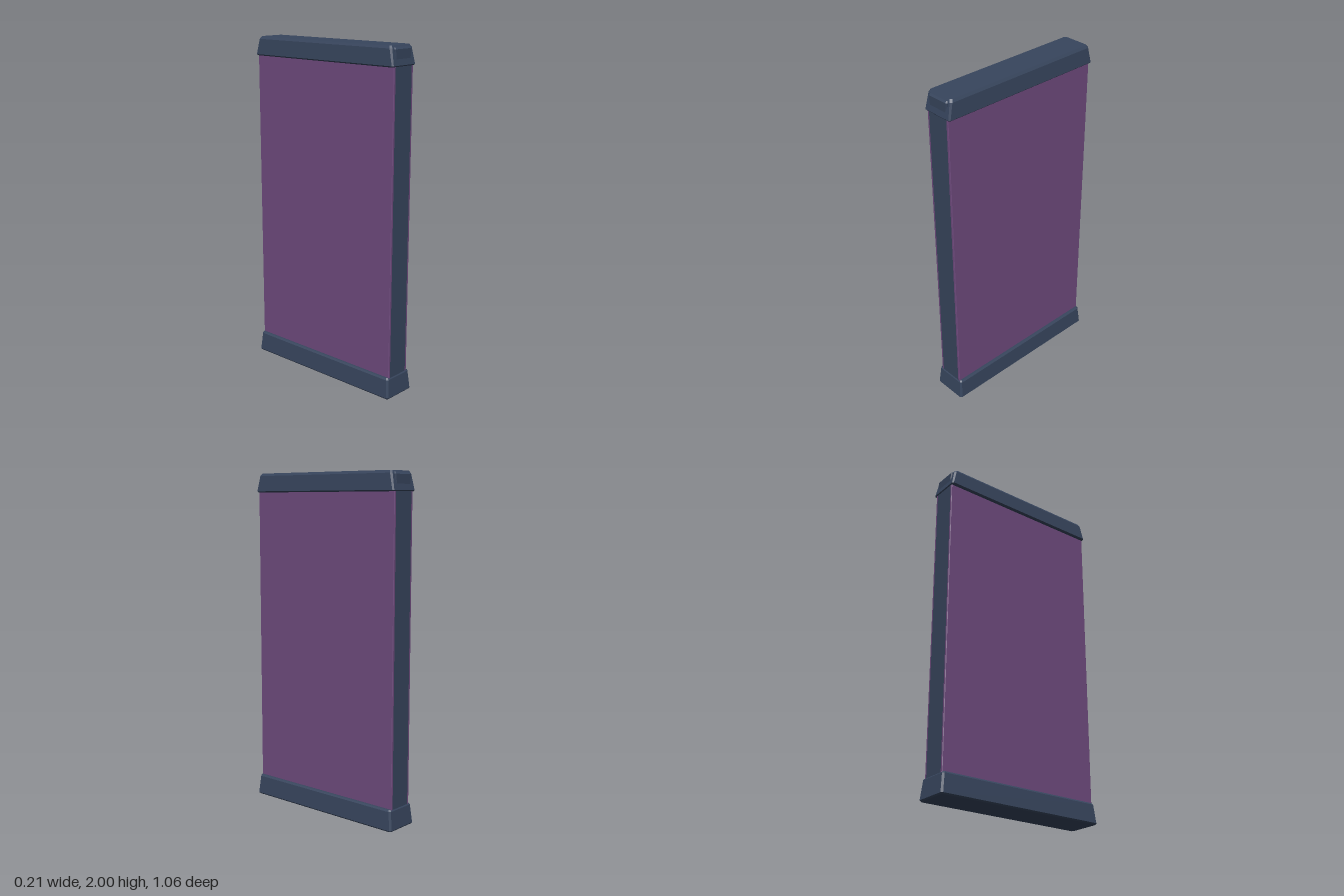
import * as THREE from 'three';

// Stacked rectangular rings with cut corners; each level is [y, halfX, halfZ, corner]
function taperedBlock(levels) {
  const pos = [], idx = [];
  for (const [y, a, b, c] of levels) {
    const ring = [[a, b - c], [a, c - b], [a - c, -b], [c - a, -b],
      [-a, c - b], [-a, b - c], [c - a, b], [a - c, b]];
    for (const [x, z] of ring) pos.push(x, y, z);
  }
  const n = 8, top = (levels.length - 1) * n;
  for (let l = 0; l < levels.length - 1; l++) {
    for (let i = 0; i < n; i++) {
      const p = l * n + i, q = l * n + (i + 1) % n;
      idx.push(p, q, q + n, p, q + n, p + n);
    }
  }
  for (let i = 1; i < n - 1; i++) {
    idx.push(top, top + i, top + i + 1);
    idx.push(0, i + 1, i);
  }
  const g = new THREE.BufferGeometry();
  g.setAttribute('position', new THREE.Float32BufferAttribute(pos, 3));
  g.setIndex(idx);
  const flat = g.toNonIndexed();
  flat.computeVertexNormals();
  return flat;
}

export function createModel() {
  const group = new THREE.Group();
  const slate = new THREE.MeshStandardMaterial({ color: 0x37455d });
  slate.name = 'slate blue';
  const purple = new THREE.MeshStandardMaterial({ color: 0x6f4b7e });
  purple.name = 'muted purple';

  const add = (name, geometry, material, x = 0, y = 0, z = 0) => {
    const mesh = new THREE.Mesh(geometry, material);
    mesh.name = name;
    mesh.position.set(x, y, z);
    group.add(mesh);
    return mesh;
  };

  // Flared foot with softened edges
  add('base', taperedBlock([
    [0, 0.1, 0.525, 0.008], [0.008, 0.107, 0.532, 0.01],
    [0.115, 0.098, 0.521, 0.01], [0.125, 0.09, 0.513, 0.008],
  ]), slate);

  // Upright core, its narrow ends showing at front and back
  add('core', new THREE.BoxGeometry(0.136, 1.79, 1.032), slate, 0, 1.005, 0);

  // Large coloured panels on both broad sides
  for (const s of [1, -1]) {
    add(s > 0 ? 'leftPanel' : 'rightPanel',
      taperedBlock([[0.11, 0.008, 0.516, 0.003], [1.895, 0.008, 0.516, 0.003]]),
      purple, s * 0.073, 0, 0);
  }

  // Cap with sloping sides and ends
  add('cap', taperedBlock([
    [1.888, 0.09, 0.515, 0.006], [1.895, 0.098, 0.521, 0.008],
    [1.985, 0.092, 0.502, 0.01], [2, 0.083, 0.493, 0.01],
  ]), slate);

  // Small bevelled plugs emerging from the cap ends
  for (const s of [1, -1]) {
    add(s > 0 ? 'frontPlug' : 'backPlug', taperedBlock([
      [1.91, 0.062, 0.02, 0.006], [1.98, 0.072, 0.02, 0.006], [1.99, 0.066, 0.012, 0.006],
    ]), slate, 0, 0, s * 0.494);
  }
  return group;
}
